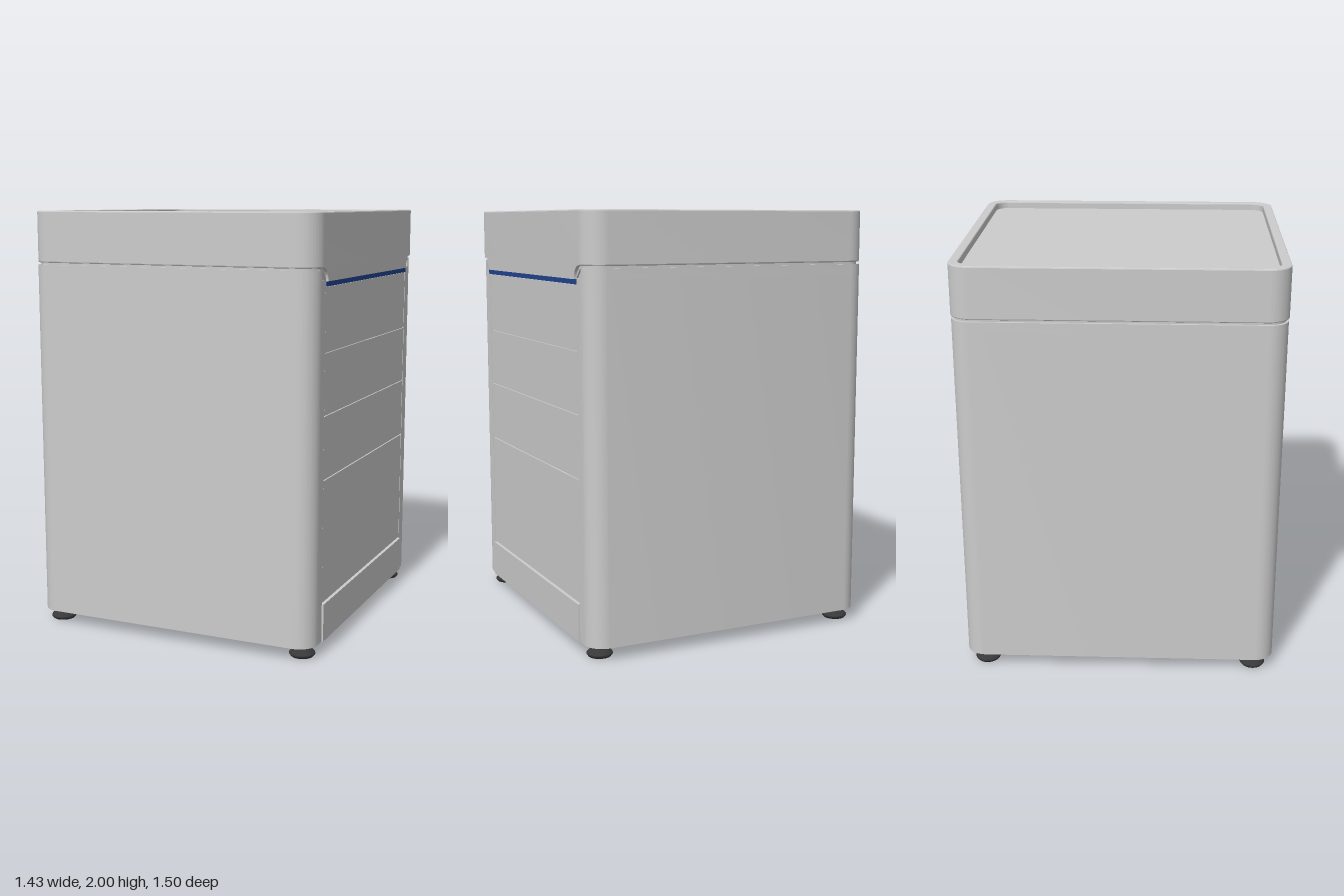
import * as THREE from 'three';
import { toCreasedNormals } from 'three/addons/utils/BufferGeometryUtils.js';

const material = (name, color) => new THREE.MeshStandardMaterial({ name, color });

// Rounded rectangle outline, also usable as a hole
function roundedRect(target, hx, hz, r) {
  target.moveTo(hx, -hz + r);
  target.lineTo(hx, hz - r);
  target.absarc(hx - r, hz - r, r, 0, Math.PI / 2);
  target.absarc(-hx + r, hz - r, r, Math.PI / 2, Math.PI);
  target.absarc(-hx + r, -hz + r, r, Math.PI, Math.PI * 1.5);
  target.absarc(hx - r, -hz + r, r, Math.PI * 1.5, Math.PI * 2);
  return target;
}

// Rounded sheet wrapped round three sides, open on +x between two post edges
function wrapShape(X, Z, R, T, open) {
  const r = R - T, s = new THREE.Shape();
  s.moveTo(X, open);
  s.lineTo(X, Z - R);
  s.absarc(X - R, Z - R, R, 0, Math.PI / 2);
  s.absarc(-X + R, Z - R, R, Math.PI / 2, Math.PI);
  s.absarc(-X + R, -Z + R, R, Math.PI, Math.PI * 1.5);
  s.absarc(X - R, -Z + R, R, Math.PI * 1.5, Math.PI * 2);
  s.lineTo(X, -open);
  s.lineTo(X - T, -open);
  s.absarc(X - R, -Z + R, r, Math.PI * 2, Math.PI * 1.5, true);
  s.absarc(-X + R, -Z + R, r, Math.PI * 1.5, Math.PI, true);
  s.absarc(-X + R, Z - R, r, Math.PI, Math.PI / 2, true);
  s.absarc(X - R, Z - R, r, Math.PI / 2, 0, true);
  s.lineTo(X - T, open);
  s.closePath();
  return s;
}

// Extrude a plan shape upwards between two heights
function prism(shape, y0, y1, bevel = 0) {
  const g = new THREE.ExtrudeGeometry(shape, {
    depth: y1 - y0 - 2 * bevel, curveSegments: 12,
    bevelEnabled: bevel > 0, bevelSize: bevel, bevelThickness: bevel,
    bevelOffset: -bevel, bevelSegments: 2,
  });
  g.rotateX(-Math.PI / 2).translate(0, y0 + bevel, 0);
  return toCreasedNormals(g, 0.3);
}

// Extrude a side-view shape along x between two positions
function sidePlate(shape, x0, x1) {
  const g = new THREE.ExtrudeGeometry(shape, { depth: x1 - x0, bevelEnabled: false });
  g.rotateY(Math.PI / 2).translate(x0, 0, 0);
  return toCreasedNormals(g, 0.3);
}

export function createModel() {
  const grey = material('greySteel', 0xcccccc);
  const blue = material('blueTrim', 0x224590);
  const black = material('blackRubber', 0x383838);
  const model = new THREE.Group();
  model.name = 'drawerCabinet';

  const add = (name, geometry, mat, parent = model) => {
    const mesh = new THREE.Mesh(geometry, mat);
    mesh.name = name;
    parent.add(mesh);
    return mesh;
  };
  const box = (name, x0, x1, y0, y1, z, mat) =>
    add(name, new THREE.BoxGeometry(x1 - x0, y1 - y0, 2 * z)
      .translate((x0 + x1) / 2, (y0 + y1) / 2, 0), mat);

  // Sheet housing; its post tops are rounded towards the drawer opening
  const open = 0.606, f = 0.045, shoulder = 1.705, shift = -0.003;
  [['housing', 0.06, shoulder, open], ['housingTop', shoulder, shoulder + f, open + f]]
    .forEach(([name, y0, y1, edge]) => {
      add(name, prism(wrapShape(0.711, 0.746, 0.09, 0.012, edge), y0, y1), grey).position.x = shift;
    });
  for (const side of [-1, 1]) {
    const corner = new THREE.Shape();
    const cx = side * (open + f), from = side > 0 ? Math.PI / 2 : 0;
    corner.moveTo(cx, shoulder);
    corner.absarc(cx, shoulder, f, from, from + Math.PI / 2);
    corner.closePath();
    add('postCorner', sidePlate(corner, 0.699, 0.711), grey).position.x = shift;
  }

  // Inner carcass: recessed floor below, shadow gap under the rim
  add('carcass', prism(roundedRect(new THREE.Shape(), 0.7, 0.735, 0.08), 0.17, 1.78), grey);

  // Top rim and shallow tray
  const rim = roundedRect(new THREE.Shape(), 0.715, 0.75, 0.1);
  rim.holes.push(roundedRect(new THREE.Path(), 0.668, 0.705, 0.06));
  add('topRim', prism(rim, 1.76, 2, 0.006), grey);
  add('trayFloor', prism(roundedRect(new THREE.Shape(), 0.69, 0.725, 0.07), 1.78, 1.966), grey);

  // Ledge below the rim, its ends following the rounded post tops
  const q = f + 0.012, end = open + f - q;
  const ledge = new THREE.Shape();
  ledge.moveTo(-end, 1.7);
  ledge.lineTo(end, 1.7);
  ledge.absarc(open + f, shoulder, q, Math.PI, Math.PI / 2, true);
  ledge.lineTo(open + f, shoulder + q + 0.004);
  ledge.lineTo(-open - f, shoulder + q + 0.004);
  ledge.absarc(-open - f, shoulder, q, Math.PI / 2, 0, true);
  ledge.closePath();
  add('rimLedge', sidePlate(ledge, 0.685, 0.715), grey);

  // Blue trim strip, drawer fronts and plinth
  box('trimStrip', 0.68, 0.712, 1.678, 1.7, 0.605, blue);
  [[1.39, 1.676], [1.108, 1.384], [0.816, 1.102], [0.243, 0.81]].forEach(([y0, y1], i) =>
    box(`drawerFront${i + 1}`, 0.66, 0.707, y0, y1, 0.603, grey));
  box('plinth', 0.69, 0.716, 0.06, 0.236, 0.605, grey);

  // Adjustable feet: rubber base, threaded stem and mounting disc
  const profile = [[0, 0], [0.052, 0], [0.06, 0.01], [0.06, 0.016], [0.05, 0.026],
    [0.034, 0.036], [0.028, 0.055], [0, 0.055]].map(([a, b]) => new THREE.Vector2(a, b));
  const footGeometry = toCreasedNormals(new THREE.LatheGeometry(profile, 24), 0.6);
  for (const x of [-0.638, 0.632]) {
    for (const z of [-0.65, 0.65]) {
      const foot = new THREE.Group();
      foot.name = 'foot';
      foot.position.set(x, 0, z);
      add('footBase', footGeometry, black, foot);
      add('footStem', new THREE.CylinderGeometry(0.02, 0.02, 0.13, 16).translate(0, 0.11, 0), grey, foot);
      add('footDisc', new THREE.CylinderGeometry(0.055, 0.055, 0.012, 20).translate(0, 0.165, 0), grey, foot);
      model.add(foot);
    }
  }
  return model;
}
